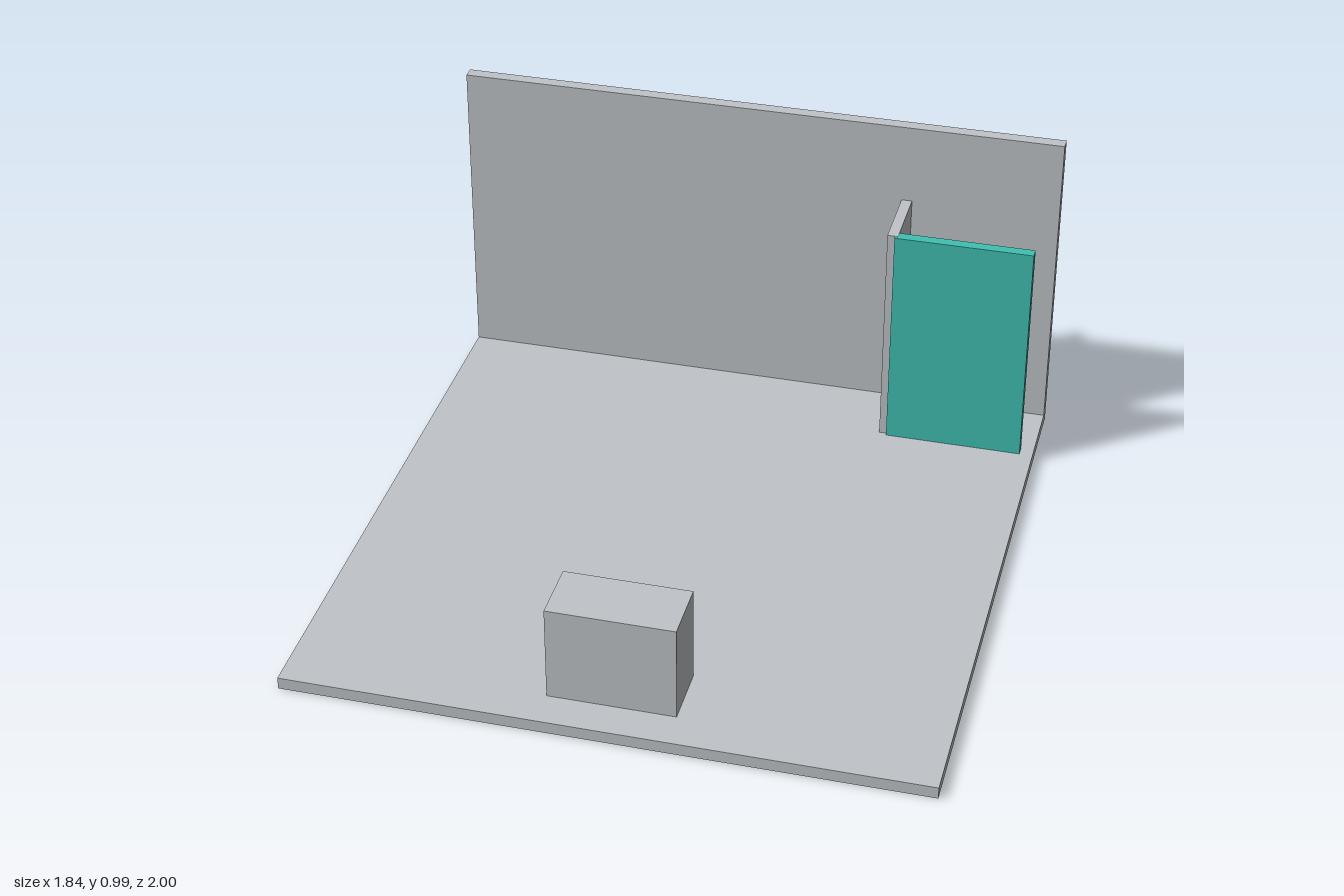
import * as THREE from 'three';

export function createModel() {
  const group = new THREE.Group();
  const grey = new THREE.MeshStandardMaterial({ color: 0xc0c4c8 });
  grey.name = 'lightGrey';
  const teal = new THREE.MeshStandardMaterial({ color: 0x40c0b3 });
  teal.name = 'teal';

  // Box given by its extents along each axis
  function slab(name, material, [x0, x1], [y0, y1], [z0, z1]) {
    const mesh = new THREE.Mesh(new THREE.BoxGeometry(x1 - x0, y1 - y0, z1 - z0), material);
    mesh.position.set((x0 + x1) / 2, (y0 + y1) / 2, (z0 + z1) / 2);
    mesh.name = name;
    group.add(mesh);
  }

  // Floor and back wall; the floor underside sits a hair up so the door's foot shows
  slab('floor', grey, [-0.92, 0.92], [0.001, 0.037], [-0.805, 1]);
  slab('backWall', grey, [-0.92, 0.92], [0, 0.985], [-0.843, -0.805]);

  // Thin partition passing through the wall, with the door panel at its front end
  slab('partition', grey, [0.443, 0.475], [0, 0.739], [-1, -0.587]);
  slab('doorPanel', teal, [0.466, 0.88], [0, 0.738], [-0.61, -0.577]);

  // Free-standing block near the front edge
  slab('block', grey, [-0.183, 0.183], [0.03, 0.327], [0.707, 0.89]);

  return group;
}
